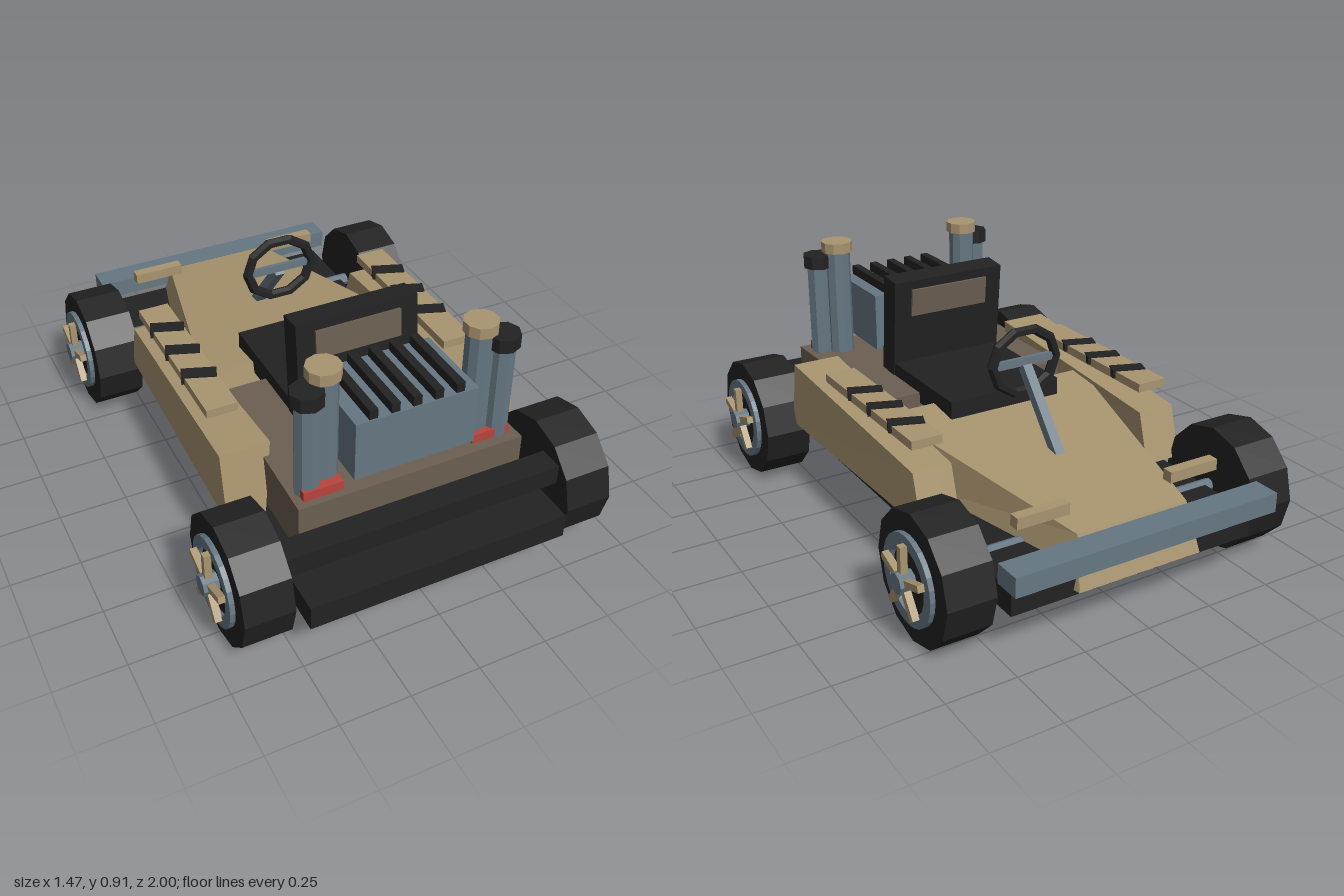
import * as THREE from 'three';

const mat = (name, color) => {
  const m = new THREE.MeshStandardMaterial({ color, flatShading: true });
  m.name = name;
  return m;
};

export function createModel() {
  const kart = new THREE.Group();
  kart.name = 'kart';
  const tan = mat('tan paint', 0xa8946f);
  const brown = mat('brown panel', 0x6b5f51);
  const black = mat('black rubber', 0x222222);
  const slate = mat('slate metal', 0x667782);
  const red = mat('red clamp', 0xb8453d);

  const add = (name, geo, m, x = 0, y = 0, z = 0, parent = kart) => {
    const mesh = new THREE.Mesh(geo, m);
    mesh.name = name;
    mesh.position.set(x, y, z);
    parent.add(mesh);
    return mesh;
  };
  // Box given by its x, y and z ranges
  const box = (name, m, x0, x1, y0, y1, z0, z1, parent) => add(name,
    new THREE.BoxGeometry(x1 - x0, y1 - y0, z1 - z0), m, (x0 + x1) / 2, (y0 + y1) / 2, (z0 + z1) / 2, parent);
  // Box whose eight corners are placed by a rule of the corner's signs
  const block = (name, m, rule) => {
    const geo = new THREE.BoxGeometry(2, 2, 2);
    const p = geo.attributes.position;
    for (let i = 0; i < p.count; i++) p.setXYZ(i, ...rule(p.getX(i), p.getY(i), p.getZ(i)));
    geo.computeVertexNormals();
    return add(name, geo, m);
  };
  const cyl = (r, h, n) => new THREE.CylinderGeometry(r, r, h, n);

  // Chassis and bumpers
  box('floor', black, -0.475, 0.475, 0.16, 0.25, -0.92, 1);
  box('rearBar', black, -0.51, 0.51, 0.295, 0.37, 0.8, 0.89);
  box('frontBumper', slate, -0.51, 0.51, 0.28, 0.35, -1, -0.9);

  // Hood, sloping down to a narrow nose
  block('hood', tan, (sx, sy, sz) => {
    const up = sy > 0;
    if (sz < 0) return up ? [sx * 0.215, 0.355, -0.89] : [sx * 0.24, 0.18, -0.945];
    return up ? [sx * 0.42, 0.46, 0.01] : [sx * 0.45, 0.22, 0.06];
  });

  // Rear deck
  block('rearDeck', brown, (sx, sy, sz) =>
    [sx * (sz > 0 ? 0.415 : 0.4), sy > 0 ? 0.46 : 0.27, sz > 0 ? 0.79 : 0.12]);

  // Seat
  box('seatCushion', black, -0.225, 0.225, 0.42, 0.51, -0.12, 0.32);
  const back = new THREE.Group();
  back.name = 'seatBack';
  back.position.set(0, 0.65, 0.35);
  back.rotation.x = -0.09;
  kart.add(back);
  box('backrest', black, -0.228, 0.228, -0.19, 0.19, -0.045, 0.045, back);
  box('headrest', brown, -0.16, 0.16, 0.05, 0.155, -0.054, 0.054, back);

  // Engine with cooling fins
  box('engine', slate, -0.22, 0.22, 0.51, 0.73, 0.48, 0.79);
  for (let i = -2; i <= 2; i++)
    box('engineFin', black, i * 0.078 - 0.015, i * 0.078 + 0.015, 0.72, 0.765, 0.485, 0.785);

  // Steering wheel, crossbar and column
  const ring = add('steeringWheel', new THREE.TorusGeometry(0.13, 0.02, 6, 10), black, 0, 0.665, -0.242);
  ring.scale.y = 0.9;
  box('steeringCrossbar', slate, -0.12, 0.12, 0.65, 0.68, -0.25, -0.235);
  const column = add('steeringColumn', new THREE.BoxGeometry(0.036, 0.036, 0.36), slate, 0, 0.51, -0.365);
  column.rotation.x = -0.87;

  for (const s of [1, -1]) {
    const side = (name, m, x0, x1, y0, y1, z0, z1) =>
      box(name, m, Math.min(s * x0, s * x1), Math.max(s * x0, s * x1), y0, y1, z0, z1);

    // Side pod, rising to the rear with slanted ends
    block('sidePod', tan, (sx, sy, sz) => {
      const outer = sx * s > 0, up = sy > 0;
      if (sz > 0) return [s * (outer ? 0.56 : up ? 0.38 : 0.42), up ? 0.51 : 0.255, up ? 0.5 : 0.545];
      return [s * (outer ? 0.535 : 0.39), up ? 0.44 : 0.255, up ? -0.41 : -0.465];
    });

    // Rail on the pod with slanted straps
    side('podRail', tan, 0.405, 0.52, 0.505, 0.537, -0.38, 0.295);
    for (let i = 0; i < 3; i++)
      add('railStrap', new THREE.BoxGeometry(0.125, 0.03, 0.055), black, s * 0.463, 0.526, -0.23 + i * 0.157)
        .rotation.y = -0.35;

    // Winglet on the nose
    side('noseWinglet', tan, 0.2, 0.395, 0.39, 0.43, -0.825, -0.785);

    // Exhaust stacks
    add('innerStack', cyl(0.05, 0.45, 10), slate, s * 0.28, 0.645, 0.685);
    add('innerStackCap', cyl(0.06, 0.04, 10), tan, s * 0.28, 0.89, 0.685);
    add('outerStack', cyl(0.045, 0.44, 8), slate, s * 0.35, 0.59, 0.715);
    add('outerStackCap', cyl(0.058, 0.05, 8), black, s * 0.35, 0.835, 0.715);
    side('stackClamp', red, 0.243, 0.385, 0.455, 0.495, 0.72, s > 0 ? 0.752 : 0.764);

    // Wheels, built facing +x and turned for the other side
    for (const z of [0.74, -0.67]) {
      const wheel = new THREE.Group();
      wheel.name = z > 0 ? 'rearWheel' : 'frontWheel';
      wheel.position.set(s * 0.595, 0.228, z);
      wheel.rotation.y = s > 0 ? 0 : Math.PI;
      kart.add(wheel);
      add('tyre', cyl(0.228, 0.174, 12), black, 0, 0, 0, wheel).rotation.z = Math.PI / 2;
      const rim = new THREE.Shape().absarc(0, 0, 0.156, 0, Math.PI * 2);
      rim.holes.push(new THREE.Path().absarc(0, 0, 0.115, 0, Math.PI * 2));
      const rimGeo = new THREE.ExtrudeGeometry(rim, { depth: 0.025, bevelEnabled: false, curveSegments: 12 });
      add('rim', rimGeo, slate, 0.08, 0, 0, wheel).rotation.y = Math.PI / 2;
      for (let i = 0; i < 5; i++) {
        const a = i * Math.PI * 0.4;
        const spoke = add('spoke', new THREE.BoxGeometry(0.025, 0.1, 0.024), tan,
          0.116, Math.cos(a) * 0.077, Math.sin(a) * 0.077, wheel);
        spoke.rotation.x = a;
      }
      add('hub', cyl(0.037, 0.06, 8), slate, 0.112, 0, 0, wheel).rotation.z = Math.PI / 2;
    }
  }

  // Axles
  for (const z of [0.74, -0.67])
    add('axle', cyl(0.025, 1.3, 8), slate, 0, 0.235, z).rotation.z = Math.PI / 2;

  return kart;
}
